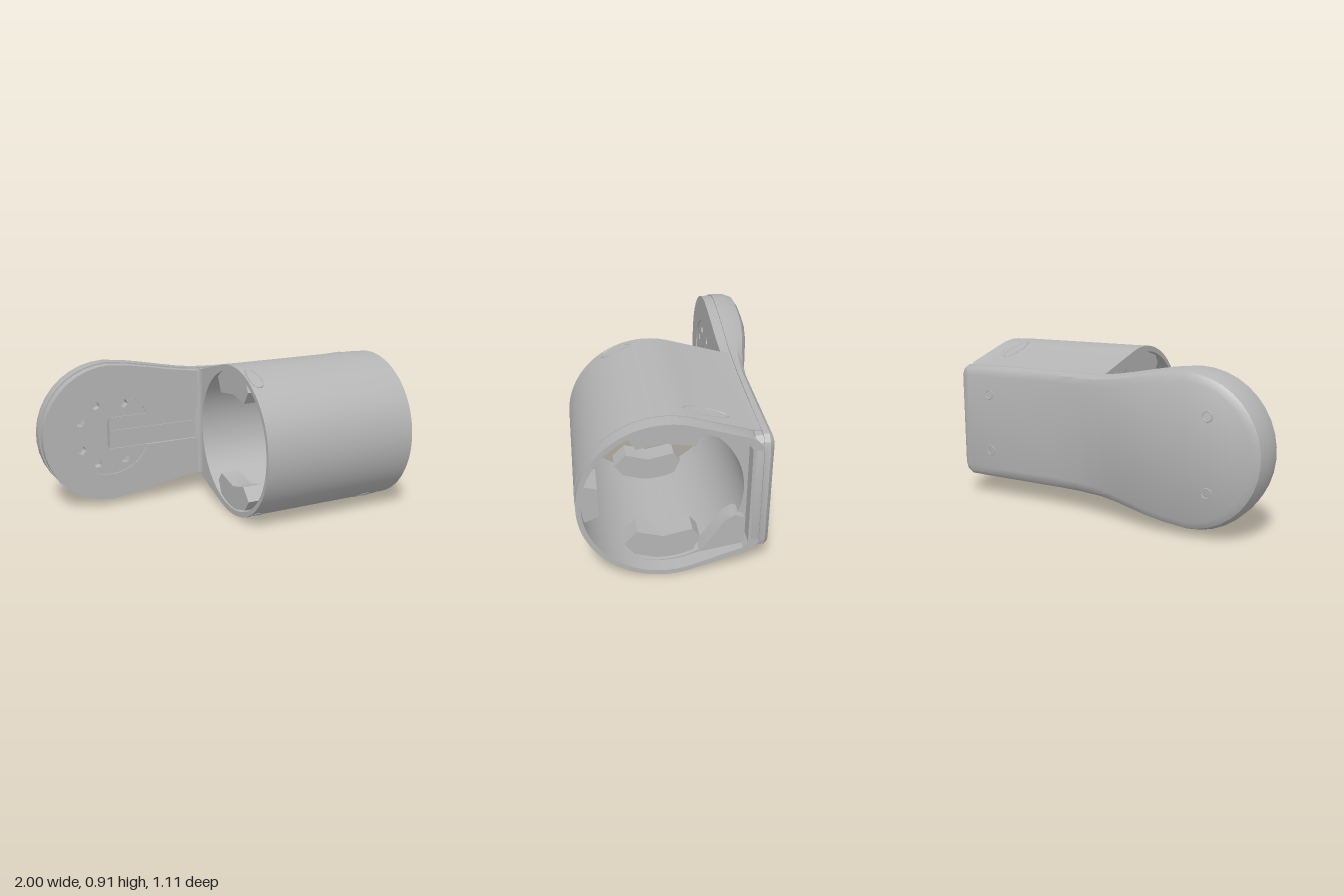
import * as THREE from 'three';
import { toCreasedNormals } from 'three/addons/utils/BufferGeometryUtils.js';

const MID = 0.46; // height of the arm's line of symmetry
const DISC_X = -0.57, DISC_R = 0.43;
const CY = 0.455, CZ = 0.1, SLEEVE_R = 0.455; // sleeve axis and radius

// Upper half of the arm outline, from the square end to the round end
const upper = [[1, 0.27], [0.988, 0.31], [0.95, 0.338], [0.65, 0.34], [0.3, 0.34], [0.15, 0.34], [0, 0.343],
  [-0.1, 0.355], [-0.2, 0.372], [-0.32, 0.395], [-0.44, 0.416]];
for (let i = 0; i <= 9; i++) {
  const a = THREE.MathUtils.degToRad(90 + i * 9.5);
  upper.push([DISC_X + DISC_R * Math.cos(a), DISC_R * Math.sin(a)]);
}
const loop = [...upper, ...upper.map(([x, y]) => [x, -y]).reverse()];

// Outline moved inwards by d
function insetLoop(d) {
  const n = loop.length;
  return loop.map(([x, y], i) => {
    const p = loop[(i + n - 1) % n], q = loop[(i + 1) % n];
    const tx = q[0] - p[0], ty = q[1] - p[1], l = Math.hypot(tx, ty);
    return [x - ty / l * d, y + tx / l * d];
  });
}

// Back cover: rings stepping backwards from the seam, closed by strips across the arm
function coverGeometry() {
  const seam = x => -0.4 + 0.02 * THREE.MathUtils.smoothstep(x, -0.3, 0.6);
  const back = x => -0.555 + 0.115 * THREE.MathUtils.smoothstep(x, -0.4, 0.32);
  const rings = [[0, 0], [0, 0.5], [0.02, 0.84], [0.06, 1]];
  const n = loop.length, pos = [], index = [];
  for (const [d, t] of rings) {
    for (const [x, y] of insetLoop(d)) pos.push(x, MID + y, THREE.MathUtils.lerp(seam(x), back(x), t));
  }
  for (let k = 0; k < rings.length - 1; k++) {
    for (let i = 0; i < n; i++) {
      const a = k * n + i, b = k * n + (i + 1) % n, c = a + n, d = b + n;
      index.push(a, c, b, b, c, d);
    }
  }
  const o = (rings.length - 1) * n;
  for (let i = 0; i < n / 2 - 1; i++) {
    const j = i + 1, mi = n - 1 - i, mj = n - 1 - j;
    index.push(o + i, o + mi, o + mj, o + i, o + mj, o + j);
    index.push(i, mj, mi, i, j, mj);
  }
  const g = new THREE.BufferGeometry();
  g.setAttribute('position', new THREE.Float32BufferAttribute(pos, 3));
  g.setIndex(index);
  return toCreasedNormals(g, 0.6);
}

const vectors = pts => pts.map(([x, y]) => new THREE.Vector2(x, y));

// Flat layer of the arm with holes, between two depths
function layerGeometry(holes, z0, z1) {
  const shape = new THREE.Shape(vectors(insetLoop(0.008).map(([x, y]) => [x, MID + y])));
  shape.holes.push(...holes);
  const g = new THREE.ExtrudeGeometry(shape, { depth: z1 - z0, bevelEnabled: false, curveSegments: 24 });
  g.translate(0, 0, z0);
  return toCreasedNormals(g, 0.6);
}

// Profile drawn in (-z, y), extruded along x
function alongX(shape, x0, x1) {
  const g = new THREE.ExtrudeGeometry(shape, { depth: x1 - x0, bevelEnabled: false, curveSegments: 40 });
  g.rotateY(Math.PI / 2);
  g.translate(x0, 0, 0);
  return toCreasedNormals(g, 0.5);
}
const blockAlongX = (zy, x0, x1) => alongX(new THREE.Shape(vectors(zy.map(([z, y]) => [-z, y]))), x0, x1);

// Round front with straight flanks running to a flat back
function sleeveOutline(PathType, radius, back) {
  const path = new PathType(), tangent = THREE.MathUtils.degToRad(73.6);
  path.absarc(-CZ, CY, radius, tangent, Math.PI * 2 - tangent, false);
  for (const [u, v] of back) path.lineTo(u, CY - v);
  for (const [u, v] of back.slice().reverse()) path.lineTo(u, CY + v);
  path.closePath();
  return path;
}

export function createModel() {
  const model = new THREE.Group();
  model.name = 'armWithSleeve';
  const grey = new THREE.MeshStandardMaterial({ color: 0xb4b4b4 });
  grey.name = 'grey plastic';
  const add = (name, geometry) => {
    const mesh = new THREE.Mesh(geometry, grey);
    mesh.name = name;
    model.add(mesh);
    return mesh;
  };

  add('backCover', coverGeometry());

  // Front layer: shallow round recess running into the cable slot
  const recess = new THREE.Path();
  const half = Math.asin(0.1 / 0.26);
  recess.absarc(-0.58, MID, 0.26, half, Math.PI * 2 - half, false);
  recess.lineTo(0.05, MID - 0.1);
  recess.lineTo(0.05, MID + 0.1);
  recess.closePath();
  add('armFront', layerGeometry([recess], -0.348, -0.34));

  // Recess floor: slot with a pointed end and a circle of small holes
  const floorHoles = [new THREE.Path(vectors([[0.05, MID - 0.1], [0.05, MID + 0.1], [-0.58, MID + 0.1],
    [-0.645, MID], [-0.58, MID - 0.1]]))];
  for (const deg of [62, 114, 154, 206, 246, 298]) {
    const a = THREE.MathUtils.degToRad(deg), pts = [];
    for (let i = 0; i < 5; i++) {
      const b = a + i * Math.PI * 0.4;
      pts.push([-0.58 + 0.2 * Math.cos(a) + 0.028 * Math.cos(b), MID + 0.2 * Math.sin(a) + 0.028 * Math.sin(b)]);
    }
    floorHoles.push(new THREE.Path(vectors(pts)));
  }
  add('recessFloor', layerGeometry(floorHoles, -0.4, -0.348));

  // Slot floor and the ribs along it
  add('slotFloor', new THREE.BoxGeometry(0.62, 0.2, 0.045)).position.set(-0.27, MID, -0.3775);
  for (const y of [MID + 0.006, MID + 0.09]) {
    add('slotRib', new THREE.BoxGeometry(0.6, 0.016, 0.02)).position.set(-0.27, y, -0.358);
  }

  // Sleeve: round bore for most of its length, opening out behind a thin rim at the far end
  const barrel = sleeveOutline(THREE.Shape, SLEEVE_R, [[0.34, 0.345], [0.38, 0.34]]);
  const bore = new THREE.Path();
  bore.absarc(-0.112, CY, 0.42, 0, Math.PI * 2, true);
  barrel.holes.push(bore);
  add('sleeve', alongX(barrel, 0.02, 0.91));
  const rim = sleeveOutline(THREE.Shape, SLEEVE_R - 0.003, [[0.32, 0.345], [0.36, 0.31], [0.385, 0.29]]);
  rim.holes.push(sleeveOutline(THREE.Path, 0.425, [[0.3, 0.315], [0.325, 0.28]]));
  add('sleeveEndRim', alongX(rim, 0.91, 0.992));

  // Small fillet where the sleeve meets the arm
  const corner = new THREE.Shape();
  corner.moveTo(0.025, 0.345);
  corner.lineTo(-0.015, 0.345);
  corner.quadraticCurveTo(0.02, 0.34, 0.02, 0.305);
  corner.lineTo(0.025, 0.305);
  corner.closePath();
  const fillet = new THREE.ExtrudeGeometry(corner, { depth: 0.67, bevelEnabled: false, curveSegments: 6 });
  fillet.rotateX(-Math.PI / 2);
  fillet.translate(0, 0.125, 0);
  add('fillet', toCreasedNormals(fillet, 0.6));

  // Screw bosses inside the sleeve, top and bottom at both ends
  const topBoss = [[0.26, 0.84], [0.29, 0.79], [0.24, 0.715], [0.105, 0.74], [-0.06, 0.715], [-0.1, 0.805],
    [-0.05, 0.85], [0.1, 0.885]];
  const bottomBoss = [[0.1, 0.025], [-0.05, 0.06], [-0.09, 0.15], [-0.05, 0.205], [0.105, 0.172], [0.24, 0.21],
    [0.31, 0.14], [0.26, 0.07]];
  for (const x of [0.03, 0.77]) {
    add('topBoss', blockAlongX(topBoss, x, x + 0.12));
    add('bottomBoss', blockAlongX(bottomBoss, x, x + 0.12));
  }

  // Corner gusset and locating tab near the open end
  add('gusset', blockAlongX([[-0.08, 0.1], [-0.21, 0.29], [-0.26, 0.32], [-0.31, 0.3], [-0.31, 0.14]], 0.85, 0.95));
  add('locatingTab', blockAlongX([[0.535, 0.57], [0.44, 0.545], [0.435, 0.38], [0.525, 0.345]], 0.78, 0.96));

  // Rims of the screw holes, drilled front to back and following the sleeve surface
  const frontZ = y => CZ + Math.sqrt(SLEEVE_R ** 2 - (y - CY) ** 2);
  const flankZ = y => -0.028 - (0.891 - y) / 0.295;
  for (const [x, y, surface] of [[0.07, 0.866, frontZ], [0.07, 0.052, frontZ], [0.82, 0.052, frontZ], [0.82, 0.865, flankZ]]) {
    const points = [];
    for (let i = 0; i < 20; i++) {
      const a = i * Math.PI / 10, py = y + 0.034 * Math.sin(a);
      points.push(new THREE.Vector3(x + 0.038 * Math.cos(a), py, surface(py)));
    }
    add('screwHoleRim', new THREE.TubeGeometry(new THREE.CatmullRomCurve3(points, true), 40, 0.004, 5, true));
  }

  // Screw rims on the back cover
  for (const [x, z, dy] of [[0.78, -0.438, 0.17], [-0.7, -0.553, 0.2]]) {
    for (const s of [-1, 1]) {
      add('coverScrewRim', new THREE.TorusGeometry(0.028, 0.005, 6, 8)).position.set(x, MID + s * dy, z);
    }
  }
  return model;
}
